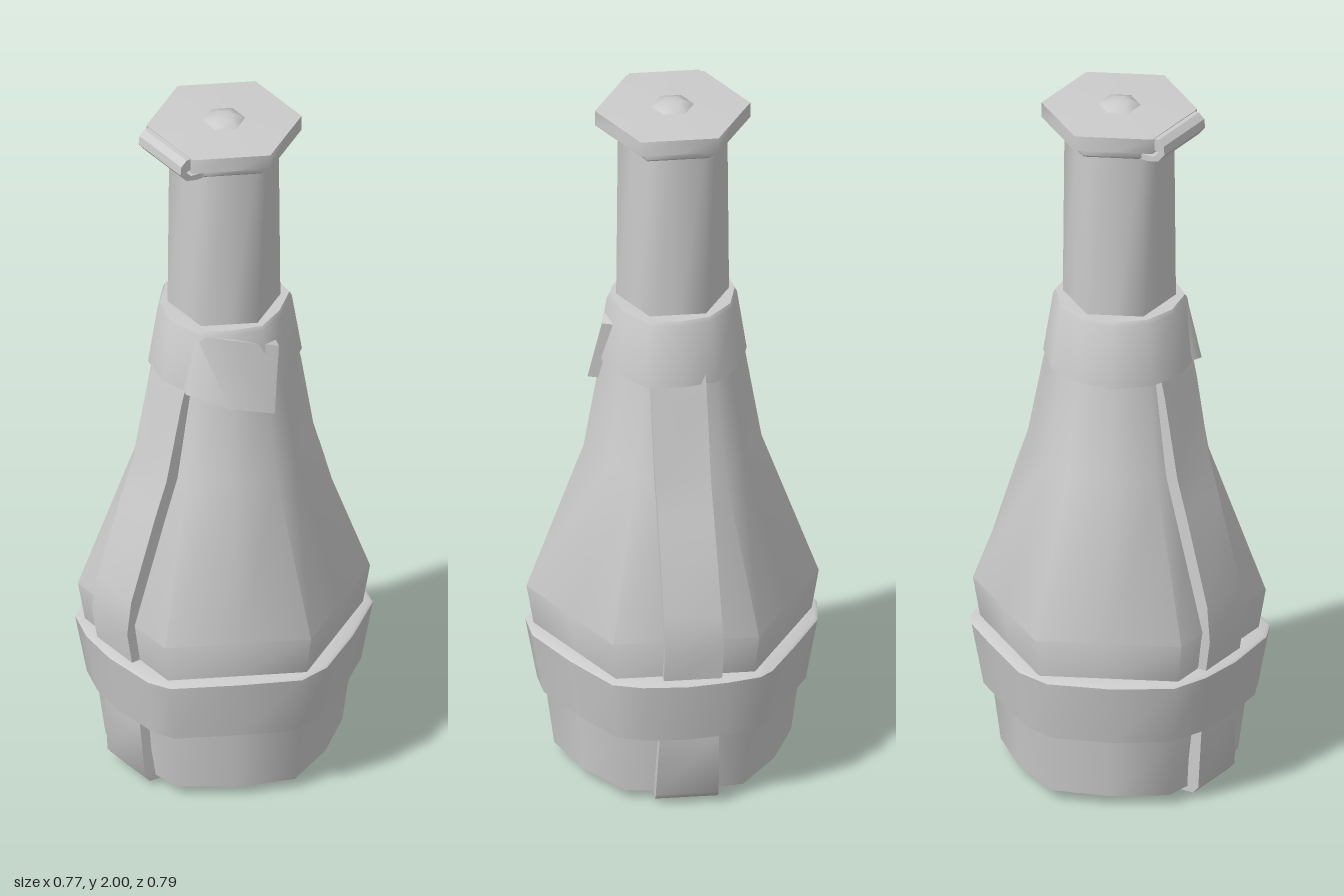
import * as THREE from 'three';
import { toCreasedNormals } from 'three/addons/utils/BufferGeometryUtils.js';

const material = new THREE.MeshStandardMaterial({ color: 0xcccccc, side: THREE.DoubleSide });

// Joins closed rings of [x, y, z] points into one skin, optionally capping both ends
function loft(name, rings, capped = false) {
  const n = rings[0].length;
  const pos = rings.flat(2);
  const index = [];
  for (let r = 0; r < rings.length - 1; r++) {
    for (let i = 0; i < n; i++) {
      const a = r * n + i, b = r * n + (i + 1) % n;
      index.push(a, b, b + n, a, b + n, a + n);
    }
  }
  if (capped) {
    const last = (rings.length - 1) * n;
    for (let i = 1; i < n - 1; i++) {
      index.push(0, i + 1, i, last, last + i, last + i + 1);
    }
  }
  const geometry = new THREE.BufferGeometry();
  geometry.setAttribute('position', new THREE.Float32BufferAttribute(pos, 3));
  geometry.setIndex(index);
  const mesh = new THREE.Mesh(toCreasedNormals(geometry, 1.1), material);
  mesh.name = name;
  return mesh;
}

// Hexagon with a corner at +z; flat is the radius at the middle of each side
function hexRing(y, radius, flat = 0.866) {
  return Array.from({ length: 12 }, (_, i) => {
    const a = i * Math.PI / 6, r = radius * (i % 2 ? flat : 1);
    return [Math.sin(a) * r, y, Math.cos(a) * r];
  });
}

// Solid of stacked hexagons, from [y, radius, flat] rows
const hexStack = (name, rows) => loft(name, rows.map((row) => hexRing(...row)));

// Closed leather band from an uneven outline, [y, scale] rows bottom to top
function band(name, outline, rows) {
  return loft(name, rows.map(([y, s]) => outline.map(([x, z]) => [x * s, y, z * s])));
}

export function createModel() {
  const group = new THREE.Group();

  // Bottle body, rounder at the base, with the neck on top
  group.add(hexStack('body', [
    [0.02, 0.001], [0.03, 0.32, 0.93], [0.22, 0.345, 0.89], [0.4, 0.375], [0.52, 0.395],
    [0.95, 0.24], [1.22, 0.195], [1.41, 0.15],
  ]));
  group.add(hexStack('neck', [[1.36, 0.153], [1.92, 0.148]]));

  // Lid: lower rim, short gap, plate and knob
  group.add(hexStack('mouthRim', [
    [1.9, 0.13], [1.9, 0.165], [1.908, 0.175], [1.928, 0.175], [1.93, 0.15], [1.945, 0.15],
  ]));
  group.add(hexStack('lidPlate', [
    [1.938, 0.14], [1.938, 0.21], [1.982, 0.21], [1.987, 0.06], [1.988, 0.001],
  ]));
  group.add(hexStack('lidKnob', [[1.98, 0.062], [1.99, 0.055], [2.0, 0.025], [2.0, 0.001]]));

  // Hinge strip curling from the plate down to the rim
  const hinge = new THREE.Shape();
  hinge.moveTo(-0.17, 1.98);
  [[-0.195, 1.98], [-0.212, 1.965], [-0.215, 1.94], [-0.195, 1.915], [-0.16, 1.905],
    [-0.13, 1.905], [-0.13, 1.92], [-0.18, 1.925], [-0.195, 1.942], [-0.17, 1.95]]
    .forEach(([x, y]) => hinge.lineTo(x, y));
  const hingeGeometry = new THREE.ExtrudeGeometry(hinge, { depth: 0.19, bevelEnabled: false });
  hingeGeometry.translate(0, 0, -0.095);
  const hingeMesh = new THREE.Mesh(hingeGeometry, material);
  hingeMesh.name = 'lidHinge';
  group.add(hingeMesh);

  // Wide belt around the belly
  group.add(band('lowerBelt', [
    [-0.03, 0.395], [0.06, 0.385], [0.21, 0.3], [0.35, 0.2], [0.375, 0.12], [0.383, 0],
    [0.37, -0.11], [0.35, -0.2], [0.32, -0.235], [0.2, -0.307], [0.06, -0.385],
    [-0.04, -0.395], [-0.2, -0.32], [-0.335, -0.22], [-0.37, -0.12], [-0.383, 0],
    [-0.37, 0.16], [-0.34, 0.22], [-0.18, 0.315],
  ], [[0.22, 0.82], [0.22, 0.92], [0.4, 1], [0.405, 0.98], [0.405, 0.82]]));

  // Collar below the neck
  group.add(band('collar', [
    [0, 0.205], [0.1, 0.165], [0.19, 0.095], [0.2, 0], [0.18, -0.1], [0.1, -0.175],
    [0, -0.2], [-0.1, -0.18], [-0.18, -0.1], [-0.205, 0], [-0.18, 0.11], [-0.1, 0.165],
  ], [[1.225, 0.85], [1.225, 1], [1.4, 0.87], [1.412, 0.84], [1.412, 0.6]]));

  // Loose collar end hanging over the front
  const tagEnds = [
    [[-0.16, 1.4, 0.09], [-0.2, 1.23, 0.1]],
    [[-0.085, 1.388, 0.155], [-0.12, 1.2, 0.19]],
    [[0.04, 1.345, 0.195], [0, 1.16, 0.23]],
  ];
  const inward = ([x, y, z]) => [x + 0.01, y, z - 0.028];
  group.add(loft('collarTag', tagEnds.map(([top, low]) => [top, low, inward(low), inward(top)]), true));

  // Long strap running down one side, under the base and up the other
  // Rows: outer x, outer y, inner x, inner y, back z, front z
  const side = [
    [0.18, 1.26, 0.15, 1.26, -0.07, 0.08],
    [0.2, 1.18, 0.16, 1.18, -0.072, 0.078],
    [0.245, 0.95, 0.19, 0.95, -0.078, 0.072],
    [0.278, 0.85, 0.22, 0.85, -0.083, 0.068],
    [0.355, 0.6, 0.29, 0.6, -0.095, 0.062],
    [0.367, 0.5, 0.31, 0.5, -0.1, 0.06],
    [0.348, 0.38, 0.3, 0.38, -0.095, 0.062],
    [0.333, 0.22, 0.28, 0.22, -0.09, 0.07],
    [0.322, 0.035, 0.27, 0.06, -0.09, 0.08],
    [0.305, 0.015, 0.26, 0.05, -0.09, 0.08],
  ];
  const mirrored = side.map(([x, y, ix, iy, b, f]) => [-x, y, -ix, iy, b, f]).reverse();
  const path = [...side, [0, 0, 0, 0.04, -0.09, 0.08], ...mirrored];
  group.add(loft('longStrap', path.map(([x, y, ix, iy, b, f]) =>
    [[x, y, b], [x, y, f], [ix, iy, f], [ix, iy, b]]), true));

  return group;
}
